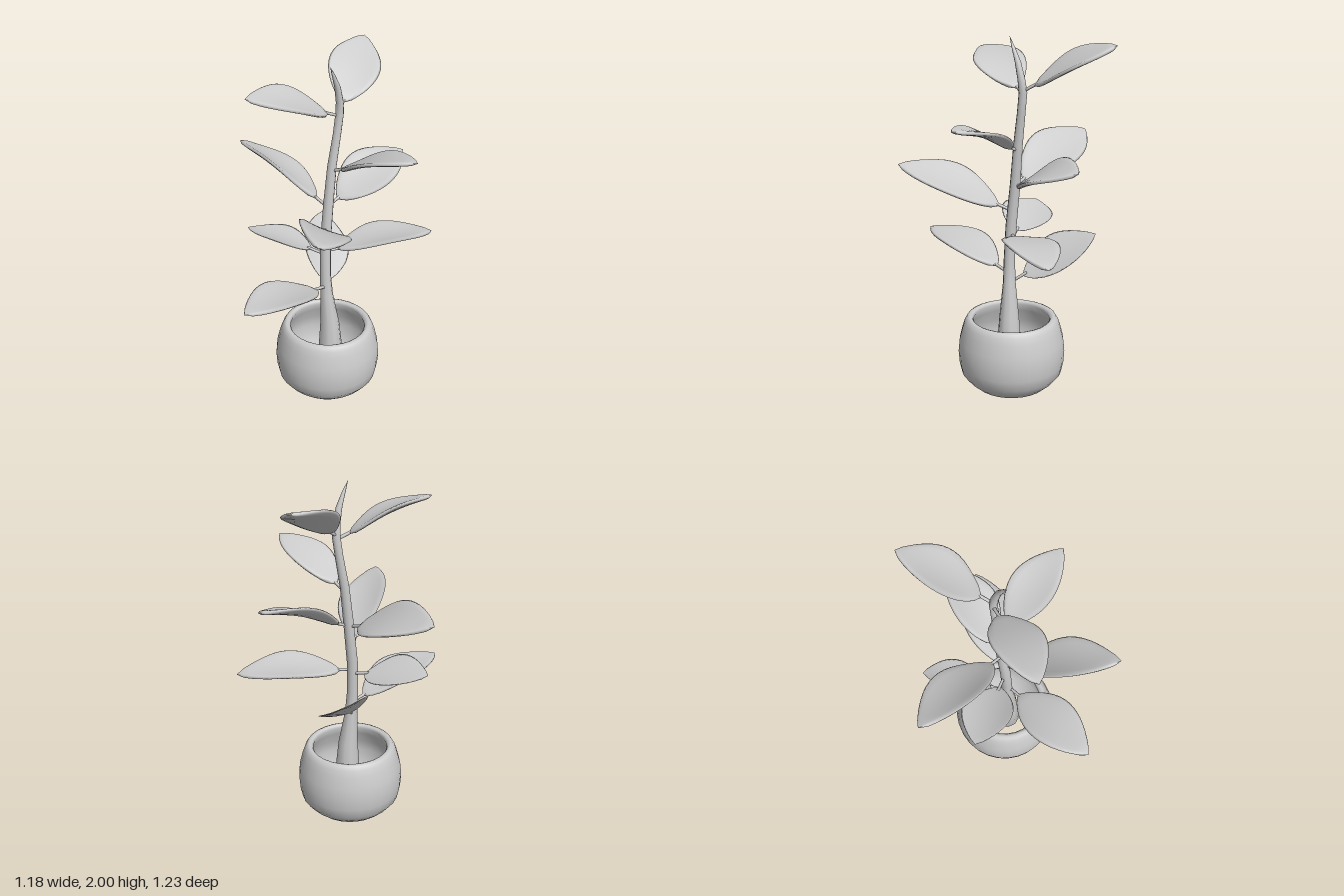
import * as THREE from 'three';

const V = (x, y, z) => new THREE.Vector3(x, y, z);
const grey = new THREE.MeshStandardMaterial({ color: 0xcccccc, side: THREE.DoubleSide });

function addMesh(parent, name, geometry) {
  const mesh = new THREE.Mesh(geometry, grey);
  mesh.name = name;
  parent.add(mesh);
  return mesh;
}

// Skin a list of rings (arrays of Vector3, counter-clockwise seen from the end)
function loft(rings) {
  const n = rings[0].length, index = [];
  for (let i = 0; i < rings.length - 1; i++) {
    for (let j = 0; j < n; j++) {
      const a = i * n + j, b = i * n + (j + 1) % n;
      index.push(a, b, a + n, b, b + n, a + n);
    }
  }
  const g = new THREE.BufferGeometry().setFromPoints(rings.flat());
  g.setIndex(index);
  g.computeVertexNormals();
  return g;
}

// Pot: double-walled bowl, open at the bottom
function makePot() {
  const profile = [
    [0.2, 0.01], [0.21, 0], [0.25, 0.035], [0.287, 0.08], [0.3, 0.14], [0.305, 0.21], [0.298, 0.28],
    [0.28, 0.35], [0.268, 0.385], [0.255, 0.408], [0.24, 0.415], [0.225, 0.41], [0.216, 0.395],
    [0.23, 0.35], [0.262, 0.28], [0.275, 0.21], [0.262, 0.1], [0.2, 0.01],
  ].map(([r, y]) => new THREE.Vector2(r, y));
  const g = new THREE.LatheGeometry(profile, 28);
  g.translate(0.07, 0, -0.055);
  return g;
}

// Trunk: x, y, z, radius of each section
const trunkSections = [
  [0.095, 0.03, -0.06, 0], [0.095, 0.03, -0.06, 0.08], [0.092, 0.25, -0.058, 0.07],
  [0.088, 0.42, -0.055, 0.056], [0.074, 0.62, -0.042, 0.036], [0.068, 0.75, -0.036, 0.032],
  [0.06, 0.95, -0.042, 0.031], [0.055, 1.2, -0.07, 0.029], [0.057, 1.42, -0.093, 0.026],
  [0.063, 1.6, -0.123, 0.023], [0.065, 1.71, -0.138, 0.023], [0.071, 1.78, -0.132, 0.021],
  [0.075, 1.87, -0.11, 0.017], [0.077, 1.95, -0.075, 0.009], [0.077, 2, -0.05, 0],
];

function makeTrunk() {
  const sides = 10;
  return loft(trunkSections.map(([x, y, z, r]) => Array.from({ length: sides }, (_, j) => {
    const a = (j / sides) * Math.PI * 2;
    return V(x + r * Math.sin(a), y, z + r * Math.cos(a));
  })));
}

// Leaf: a cupped, arched blade on a short stalk
function makeLeaf({ base, tip, up, width = 0.145, thick = 0.014, arch = 0.035, stalk = 0.07 }) {
  const group = new THREE.Group();
  group.name = 'leaf';
  const root = V(...base), end = V(...tip);
  const dir = end.clone().sub(root).normalize();
  const side = V(...up).cross(dir).normalize();
  const normal = dir.clone().cross(side);
  const start = root.clone().addScaledVector(dir, stalk);

  const rings = [], steps = 16, around = 16;
  for (let i = 0; i <= steps; i++) {
    const t = i / steps;
    const s = Math.max(0, Math.sin(Math.PI * Math.pow(t, 0.95)));
    const half = i === steps ? 0 : width * Math.pow(s, 0.82) + 0.006 * (1 - t);
    const h = thick * Math.min(1, half / 0.04);
    const centre = start.clone().lerp(end, t).addScaledVector(normal, arch * Math.sin(Math.PI * t));
    rings.push(Array.from({ length: around }, (_, j) => {
      const a = (j / around) * Math.PI * 2, c = Math.cos(a), q = Math.sin(a);
      const x = half * c;
      const y = h * Math.sign(q) * Math.pow(Math.abs(q), 0.5) + 1.3 * x * x - 0.008 * s;
      return centre.clone().addScaledVector(side, x).addScaledVector(normal, y);
    }));
  }
  addMesh(group, 'blade', loft(rings));

  const path = new THREE.LineCurve3(root, start.clone().addScaledVector(dir, 0.03).addScaledVector(normal, 0.004));
  addMesh(group, 'stalk', new THREE.TubeGeometry(path, 1, 0.009, 6));
  return group;
}

// Stalk root, tip and upward direction of every leaf, lowest first
const leaves = [
  { base: [0.06, 0.62, -0.05], tip: [-0.28, 0.9, -0.37], up: [0.63, 0.77, 0], thick: 0.004, arch: 0.01 },
  { base: [0.08, 0.68, -0.02], tip: [0.1, 0.8, 0.61], up: [0, 1, -0.2] },
  { base: [0.05, 0.88, -0.04], tip: [-0.36, 0.97, 0.165], up: [0.1, 1, -0.3], thick: 0.004, arch: 0.015 },
  { base: [0.06, 0.9, -0.04], tip: [0.36, 0.92, -0.62], up: [-0.1, 1, 0] },
  { base: [0.06, 1.04, -0.04], tip: [0.47, 1.29, 0.43], up: [0, 0.86, -0.5] },
  { base: [0.055, 1.18, -0.065], tip: [0.13, 1.37, -0.6], up: [0.3, 0.9, 0.3] },
  { base: [0.045, 1.18, -0.06], tip: [-0.59, 1.39, 0], up: [0.3, 1, -0.5], width: 0.15 },
  { base: [0.06, 1.39, -0.09], tip: [0.59, 1.59, -0.165], up: [-0.35, 0.93, 0], width: 0.125 },
  { base: [0.06, 1.7, -0.135], tip: [-0.11, 1.89, 0.37], up: [0.35, 1, -0.3], width: 0.135 },
  { base: [0.065, 1.72, -0.14], tip: [-0.17, 1.98, -0.58], up: [0.45, 0.87, 0.24], width: 0.14, arch: 0.025 },
];

export function createModel() {
  const plant = new THREE.Group();
  plant.name = 'pottedPlant';
  addMesh(plant, 'pot', makePot());
  addMesh(plant, 'trunk', makeTrunk());
  for (const leaf of leaves) plant.add(makeLeaf(leaf));
  return plant;
}
